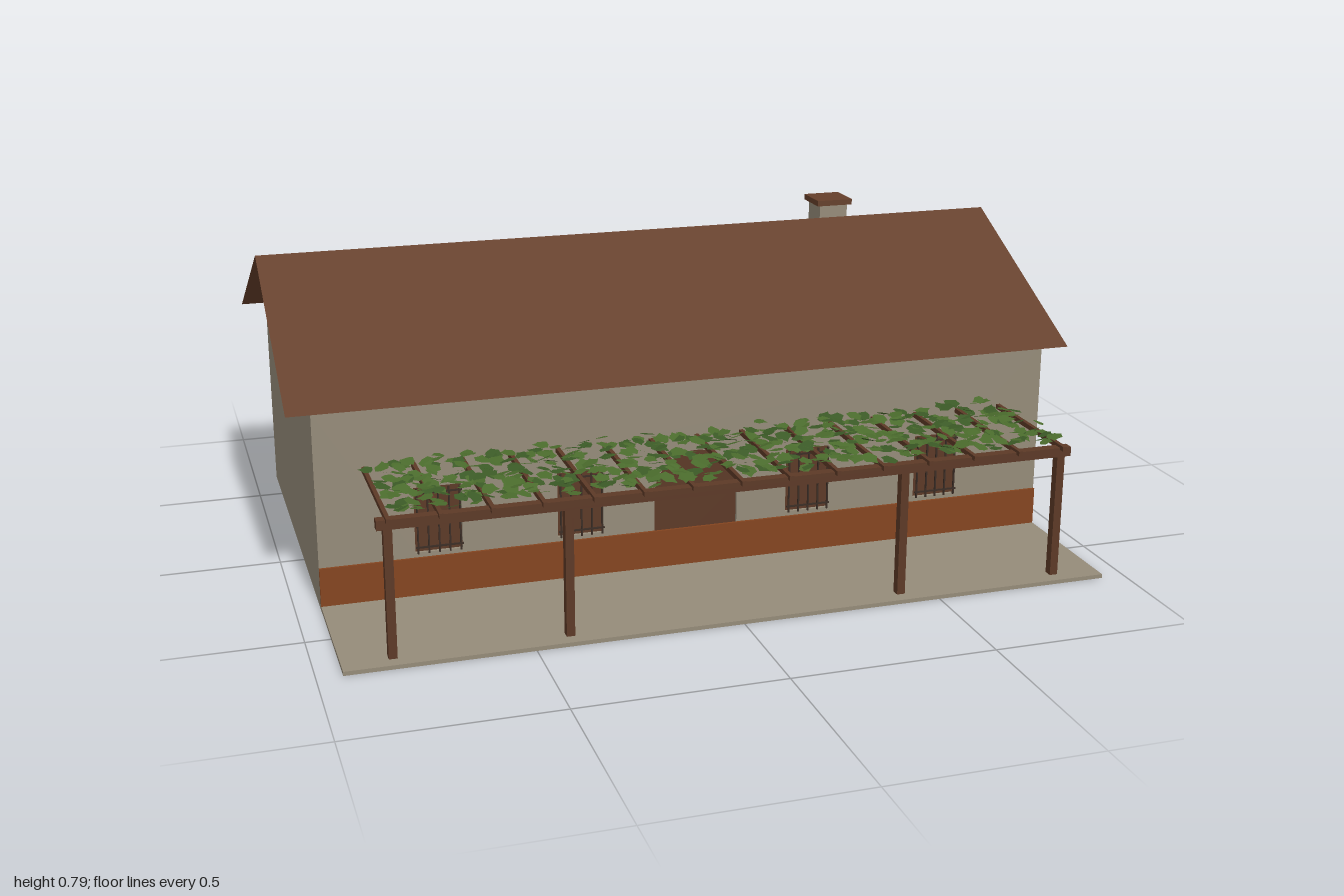
import * as THREE from 'three';
import { mergeGeometries } from 'three/addons/utils/BufferGeometryUtils.js';

const mat = (name, color, side = THREE.FrontSide) => {
  const m = new THREE.MeshStandardMaterial({ color, side });
  m.name = name;
  return m;
};

export function createModel() {
  const model = new THREE.Group();
  model.name = 'farmhouse';
  const plaster = mat('plaster', 0x958b79);
  const tile = mat('roofTile', 0x653f2a, THREE.DoubleSide);
  const paint = mat('plinthPaint', 0x84441f);
  const wood = mat('wood', 0x5c3926);
  const iron = mat('iron', 0x3a2c24);
  const greens = [mat('leafGreen', 0x4a6b2c, THREE.DoubleSide), mat('leafDark', 0x3b5a26, THREE.DoubleSide)];

  const add = (name, geo, material, parent = model) => {
    const m = new THREE.Mesh(geo, material);
    m.name = name;
    parent.add(m);
    return m;
  };
  // box given by its min and max corners
  const box = (x0, x1, y0, y1, z0, z1) =>
    new THREE.BoxGeometry(x1 - x0, y1 - y0, z1 - z0).translate((x0 + x1) / 2, (y0 + y1) / 2, (z0 + z1) / 2);

  const W = 0.94, H = 0.497, T = 0.026, BACK = -0.64, FRONT = 0.326;
  const RIDGE = 0.757, RZ = -0.176;
  const windows = [-0.65, -0.297, 0.297, 0.65];
  const WW = 0.058, WY0 = 0.118, WY1 = 0.284;

  // Arched doorway outline, bottom left to bottom right
  const arch = (s, r) => s.lineTo(-r, 0).lineTo(-r, 0.2).absarc(0, 0.2, r, Math.PI, 0, true).lineTo(r, 0);

  // Front wall with door notch and window holes
  const wall = new THREE.Shape();
  wall.moveTo(-W, 0);
  arch(wall, 0.108);
  wall.lineTo(W, 0).lineTo(W, H).lineTo(-W, H).closePath();
  for (const x of windows) {
    const h = new THREE.Path();
    h.moveTo(x - WW, WY0).lineTo(x - WW, WY1).lineTo(x + WW, WY1).lineTo(x + WW, WY0).closePath();
    wall.holes.push(h);
  }
  add('frontWall', new THREE.ExtrudeGeometry(wall, { depth: T, bevelEnabled: false, curveSegments: 12 })
    .translate(0, 0, FRONT - T), plaster);
  add('backWall', box(-W + T, W - T, 0, H, BACK, BACK + T), plaster);

  // Gable walls
  const gable = new THREE.Shape();
  gable.moveTo(BACK, 0).lineTo(FRONT - T, 0).lineTo(FRONT - T, H).lineTo(-0.17, RIDGE - 0.004).lineTo(BACK, H).closePath();
  for (const [name, x] of [['leftGable', W], ['rightGable', -W + T]]) {
    add(name, new THREE.ExtrudeGeometry(gable, { depth: T, bevelEnabled: false })
      .rotateY(-Math.PI / 2).translate(x, 0, 0), plaster);
  }

  // Thin roof slopes
  const run = 0.529, drop = RIDGE - H;
  for (const s of [1, -1]) {
    const g = new THREE.PlaneGeometry(2, Math.hypot(run, drop)).rotateX(Math.atan2(drop, run) - Math.PI / 2);
    if (s < 0) g.rotateY(Math.PI);
    add(s > 0 ? 'frontRoof' : 'backRoof', g.translate(0, (RIDGE + H) / 2, RZ + s * run / 2), tile);
  }

  // Chimney
  add('chimney', box(0.545, 0.625, 0.66, 0.776, -0.33, -0.247), plaster);
  add('chimneyCap', box(0.535, 0.635, 0.775, 0.79, -0.34, -0.237), tile);

  // Porch slab and painted band along the wall foot
  add('porchSlab', box(-W, W, 0, 0.01, FRONT, 0.7), plaster);
  add('plinthBand', box(-W, W, 0.008, 0.106, FRONT, FRONT + 0.007), paint);

  // Door
  const door = new THREE.Shape();
  door.moveTo(-0.108, 0);
  arch(door, 0.108);
  door.closePath();
  add('door', new THREE.ExtrudeGeometry(door, { depth: 0.01, bevelEnabled: false, curveSegments: 12 })
    .translate(0, 0, 0.308), wood);

  // Windows: recessed shutter behind an iron grille
  for (const x of windows) {
    const g = new THREE.Group();
    g.name = 'window';
    model.add(g);
    add('shutter', box(x - WW, x + WW, WY0, WY1, 0.308, 0.318), wood, g);
    const bars = [];
    for (let i = 0; i < 5; i++) {
      const bx = x + (i - 2) * 0.026;
      bars.push(box(bx - 0.002, bx + 0.002, WY0, WY1, 0.333, 0.337));
    }
    for (const y of [WY0 + 0.016, WY1 - 0.012]) bars.push(box(x - WW, x + WW, y - 0.002, y + 0.002, 0.333, 0.337));
    add('grille', mergeGeometries(bars), iron, g);
  }

  // Pergola posts, beam and rafters
  for (const x of [-0.823, -0.412, 0.412, 0.823]) {
    add('pergolaPost', box(x - 0.01, x + 0.01, 0.01, 0.338, 0.645, 0.667), wood);
  }
  add('pergolaBeam', box(-0.848, 0.848, 0.32, 0.343, 0.643, 0.668), wood);
  for (let i = 0; i < 15; i++) {
    const x = -0.823 + i * 0.1176;
    add('rafter', box(x - 0.005, x + 0.005, 0.338, 0.35, FRONT, 0.682), wood);
  }

  // Vine: scattered, gently tilted leaves
  let seed = 7;
  const rnd = () => (seed = (seed * 16807) % 2147483647) / 2147483647;
  const leaf = new THREE.Shape();
  [[0, -0.5], [0.42, -0.4], [0.5, 0.1], [0.2, 0.3], [0, 0.6], [-0.22, 0.3], [-0.5, 0.1], [-0.42, -0.4]]
    .forEach(([x, y], i) => (i ? leaf.lineTo(x, y) : leaf.moveTo(x, y)));
  const leafGeo = new THREE.ShapeGeometry(leaf).rotateX(-Math.PI / 2);
  const leaves = [[], []];
  const cols = 50, rows = 11;
  for (let i = 0; i < cols * rows; i++) {
    const x = -0.815 + ((i % cols) + rnd() * 1.6 - 0.3) * (1.63 / cols);
    const z = 0.345 + (Math.floor(i / cols) + rnd() * 1.4 - 0.2) * (0.32 / rows);
    const size = 0.028 + rnd() * 0.014;
    const g = leafGeo.clone().scale(size, size, size).rotateY(rnd() * 6.28)
      .rotateX((rnd() - 0.5) * 0.7).rotateZ((rnd() - 0.5) * 0.7)
      .translate(x, 0.354 + rnd() * 0.018, z);
    leaves[rnd() < 0.65 ? 0 : 1].push(g);
  }
  leaves.forEach((list, i) => add('vineLeaves', mergeGeometries(list), greens[i]));

  return model;
}
